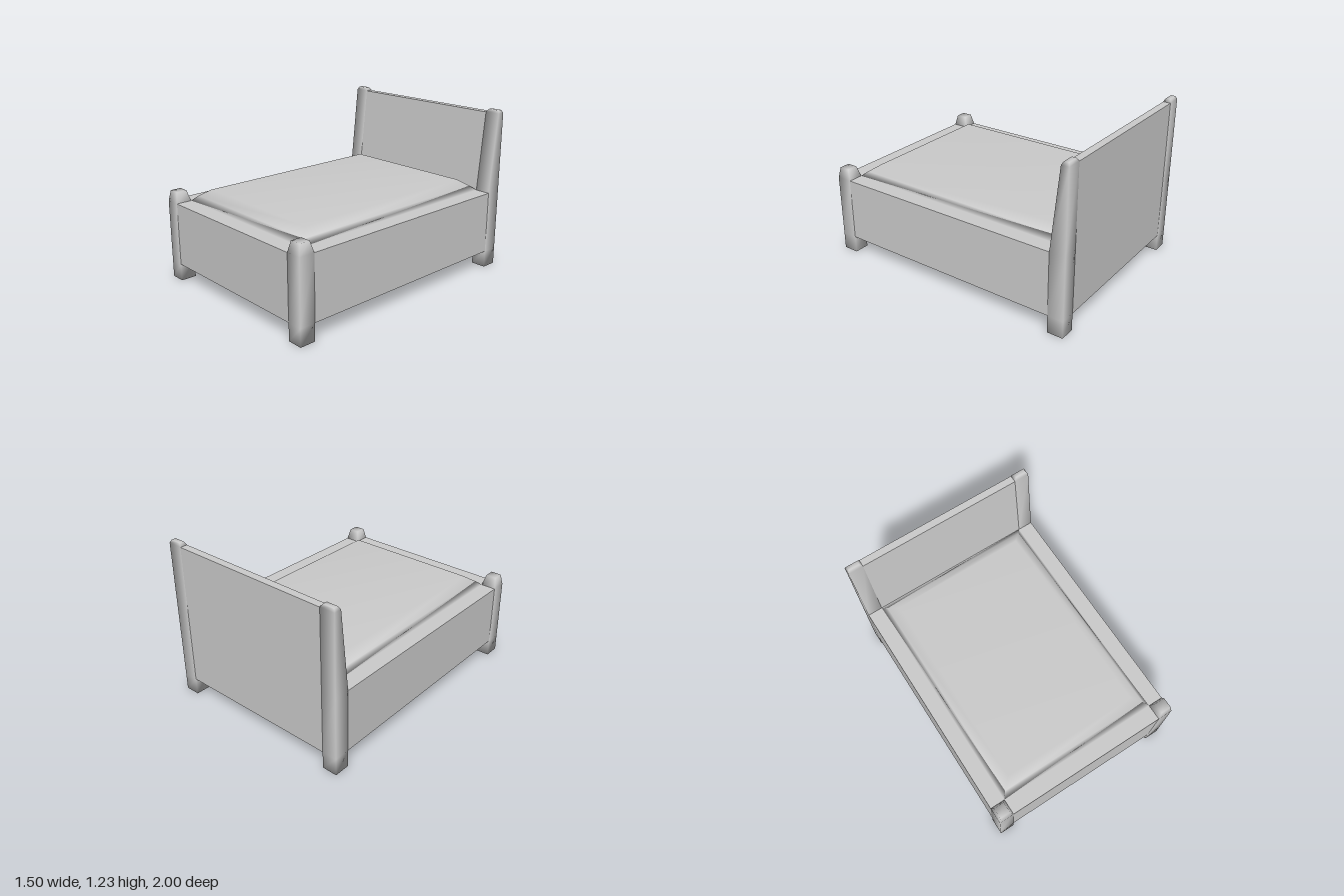
import * as THREE from 'three';

const material = new THREE.MeshStandardMaterial({ color: 0xcccccc });

// Closed solid lofted through rectangular rings [y, x0, x1, z0, z1], bottom to top
function loft(name, rings, smooth = true) {
  const positions = [], index = [];
  for (const [y, x0, x1, z0, z1] of rings) {
    positions.push(x0, y, z1, x1, y, z1, x1, y, z0, x0, y, z0);
  }
  const quad = (a, b, c, d) => index.push(a, b, c, a, c, d);
  for (let r = 0; r < rings.length - 1; r++) {
    for (let k = 0; k < 4; k++) {
      const a = r * 4 + k, b = r * 4 + (k + 1) % 4;
      quad(a, b, b + 4, a + 4);
    }
  }
  const t = (rings.length - 1) * 4;
  quad(3, 2, 1, 0);
  quad(t, t + 1, t + 2, t + 3);
  let geometry = new THREE.BufferGeometry();
  geometry.setAttribute('position', new THREE.Float32BufferAttribute(positions, 3));
  geometry.setIndex(index);
  if (!smooth) geometry = geometry.toNonIndexed();
  geometry.computeVertexNormals();
  const mesh = new THREE.Mesh(geometry, material);
  mesh.name = name;
  return mesh;
}

export function createModel() {
  const bed = new THREE.Group();
  bed.name = 'bed';
  const X = 0.75, Z = 1, x = 0.635, z = 0.88; // outer and inner faces of the posts
  const railTop = 0.605, railBottom = 0.13;

  // Bed frame: solid base with the corners notched for the posts
  const outline = new THREE.Shape([
    [x, -Z], [x, -z], [X, -z], [X, z], [x, z], [x, Z],
    [-x, Z], [-x, z], [-X, z], [-X, -z], [-x, -z], [-x, -Z],
  ].map(([a, b]) => new THREE.Vector2(a, b)));
  const frameGeometry = new THREE.ExtrudeGeometry(outline, { depth: railTop - railBottom, bevelEnabled: false });
  frameGeometry.rotateX(-Math.PI / 2).translate(0, railBottom, 0);
  const frame = new THREE.Mesh(frameGeometry, material);
  frame.name = 'frame';
  bed.add(frame);

  // Mattress with rounded-over edges
  bed.add(loft('mattress', [
    [railTop, -x, x, -z, z],
    [0.642, -0.6, 0.6, -0.835, 0.835],
    [0.69, -0.53, 0.53, -0.767, 0.767],
  ]));

  // Headboard, its front face leaning back
  bed.add(loft('headboard', [
    [railTop, -x, x, -Z, -z],
    [1.208, -x, x, -Z, -0.944],
  ], false));

  // Corner posts with tapered caps
  for (const side of [1, -1]) {
    const ring = (y, inner, outer, z0, z1) =>
      side > 0 ? [y, inner, outer, z0, z1] : [y, -outer, -inner, z0, z1];
    const label = side > 0 ? 'left' : 'right';
    bed.add(loft(label + 'FootPost', [
      ring(0, x, X, z, Z),
      ring(railBottom, x, X, z, Z),
      ring(railTop, x, X, z, Z),
      ring(0.685, 0.655, 0.735, 0.903, 0.985),
    ]));
    bed.add(loft(label + 'HeadPost', [
      ring(0, x, X, -Z, -z),
      ring(railBottom, x, X, -Z, -z),
      ring(railTop, x, X, -Z, -z),
      ring(1.21, x, X, -Z, -0.943),
      ring(1.232, 0.652, 0.737, -0.99, -0.956),
    ]));
  }
  return bed;
}
